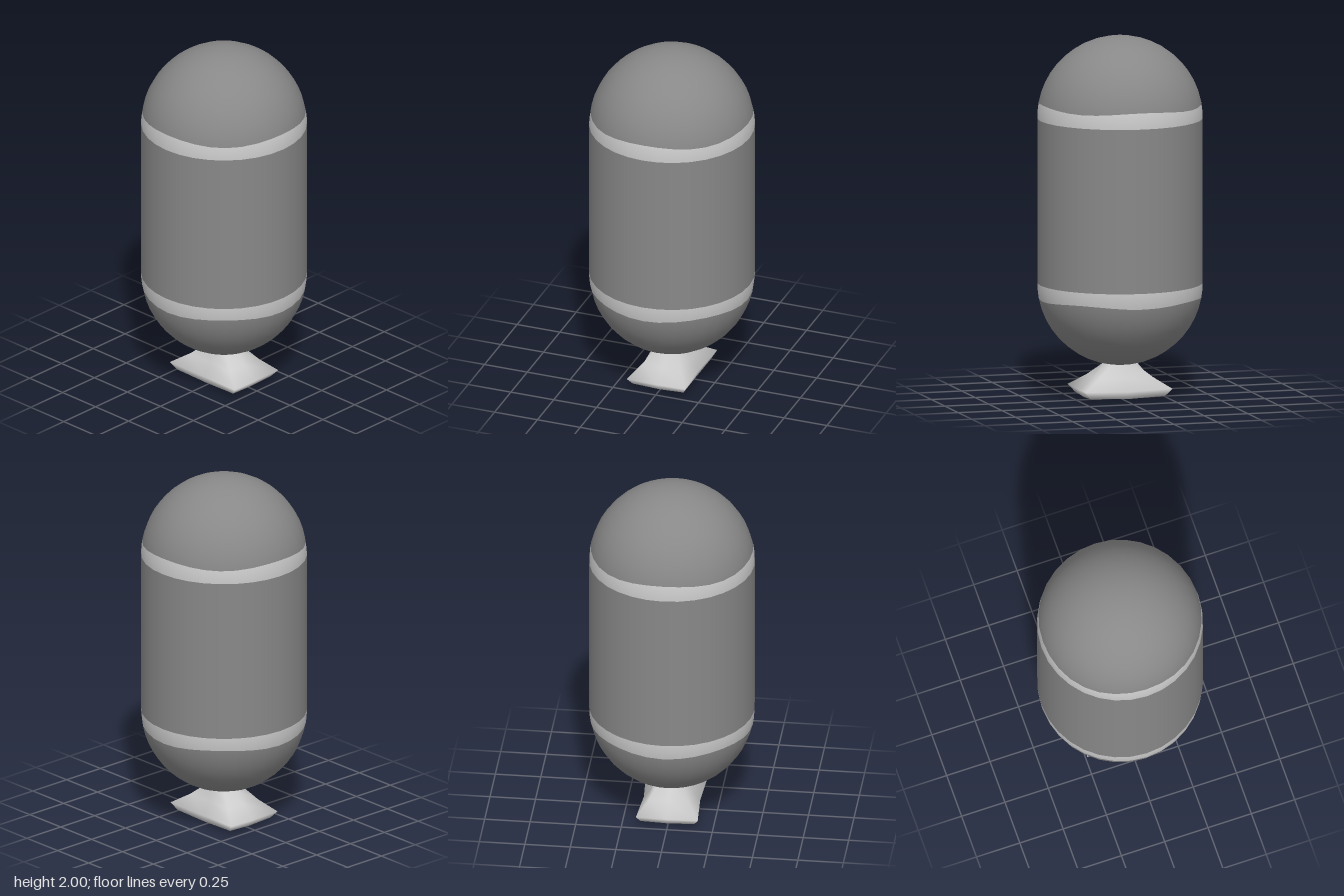
import * as THREE from 'three';

const R = 0.453, TOP = 1.547, LOW = 0.64, SEGMENTS = 32;
const BAND = Math.PI / 16; // height of a stripe, as an angle on the dome

const dark = new THREE.MeshStandardMaterial({ color: 0x888888 });
const light = new THREE.MeshStandardMaterial({ color: 0xcccccc });

function addMesh(parent, name, geometry, material) {
  const mesh = new THREE.Mesh(geometry, material);
  mesh.name = name;
  parent.add(mesh);
  return mesh;
}

// Part of a dome between two polar angles; its rings dip slightly at the four diagonals
function domeZone(from, to, rows) {
  const geometry = new THREE.SphereGeometry(R, SEGMENTS, rows, 0, Math.PI * 2, from, to - from);
  const pos = geometry.attributes.position;
  const p = new THREE.Vector3();
  for (let i = 0; i < pos.count; i++) {
    p.fromBufferAttribute(pos, i);
    const around = Math.atan2(p.z, p.x);
    const lat = Math.asin(THREE.MathUtils.clamp(p.y / R, -1, 1));
    const bent = lat - 0.045 * Math.sin(2 * lat) * (1 - Math.cos(4 * around));
    const flat = Math.cos(bent);
    p.set(flat * Math.cos(around), Math.sin(bent), flat * Math.sin(around));
    geometry.attributes.normal.setXYZ(i, p.x, p.y, p.z);
    pos.setXYZ(i, p.x * R, p.y * R, p.z * R);
  }
  return geometry;
}

// Pinched knot: eight-point rings going from a round neck to an oblong rim
function knotGeometry() {
  // [corner x, corner z, corner y, middle x, middle z, middle y]
  const rings = [
    [0.045, 0.042, 0.24, 0.062, 0.06, 0.24],
    [0.075, 0.066, 0.19, 0.1, 0.09, 0.19],
    [0.155, 0.11, 0.125, 0.155, 0.105, 0.125],
    [0.247, 0.17, 0.065, 0.235, 0.155, 0.055],
    [0.212, 0.148, 0.024, 0.205, 0.14, 0.014],
    [0.1, 0.07, 0.008, 0.1, 0.07, 0.005],
  ];
  const vertices = [], index = [];
  for (const [cx, cz, cy, mx, mz, my] of rings) {
    for (let i = 0; i < 8; i++) {
      const a = i * Math.PI / 4;
      const x = Math.round(Math.cos(a)), z = Math.round(Math.sin(a));
      if (i % 2) vertices.push(x * cx, cy, z * cz);
      else vertices.push(x * mx, my, z * mz);
    }
  }
  for (let r = 0; r < rings.length - 1; r++) {
    for (let i = 0; i < 8; i++) {
      const a = r * 8 + i, b = r * 8 + (i + 1) % 8;
      index.push(a, b, a + 8, b, b + 8, a + 8);
    }
  }
  // Closed underside
  const last = (rings.length - 1) * 8, centre = last + 8;
  vertices.push(0, 0, 0);
  for (let i = 0; i < 8; i++) index.push(last + i, last + (i + 1) % 8, centre);

  const geometry = new THREE.BufferGeometry();
  geometry.setAttribute('position', new THREE.Float32BufferAttribute(vertices, 3));
  geometry.setIndex(index);
  geometry.computeVertexNormals();
  return geometry;
}

export function createModel() {
  const model = new THREE.Group();
  model.name = 'balloon';

  // Straight middle
  const body = new THREE.CylinderGeometry(R, R, TOP - LOW, SEGMENTS, 1, true);
  addMesh(model, 'body', body, dark).position.y = (TOP + LOW) / 2;

  // Rounded ends, each with a pale stripe next to the body
  for (const [name, y, turn] of [['top', TOP, 0], ['bottom', LOW, Math.PI]]) {
    const end = new THREE.Group();
    end.name = name + 'End';
    end.position.y = y;
    end.rotation.x = turn;
    addMesh(end, name + 'Dome', domeZone(0, Math.PI / 2 - BAND, 10), dark);
    addMesh(end, name + 'Stripe', domeZone(Math.PI / 2 - BAND, Math.PI / 2, 2), light);
    model.add(end);
  }

  // Knot under the bottom end
  addMesh(model, 'knot', knotGeometry(), light);
  return model;
}
